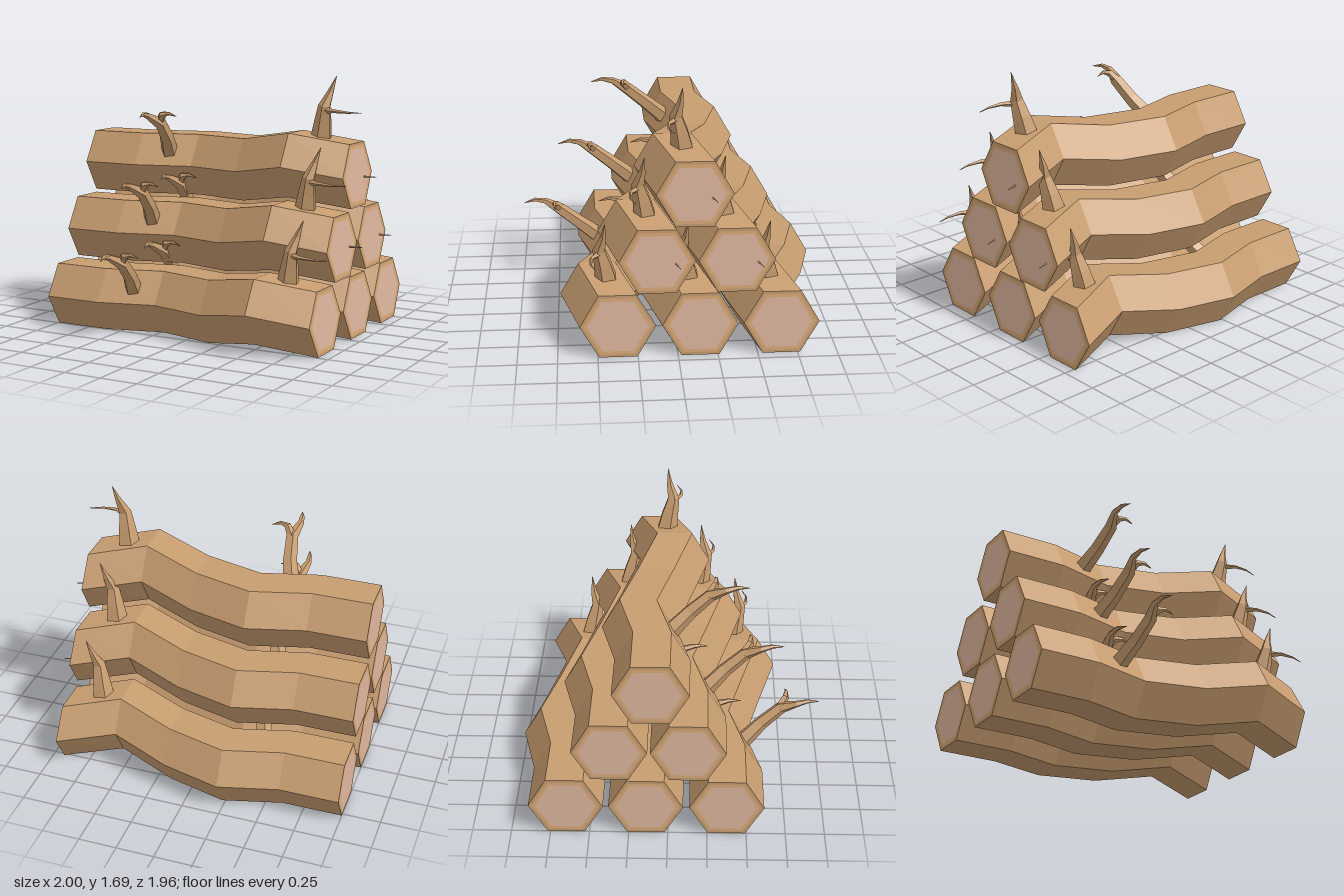
import * as THREE from 'three';

const V = (x, y, z) => new THREE.Vector3(x, y, z);
const mat = (color) => new THREE.MeshStandardMaterial({ color, flatShading: true });
const bark = mat(0xc89d70), sapwood = mat(0xdcab78), heartwood = mat(0xe0b8a0);

// Skin a list of equal-length rings; optionally close the first and last ring
function loft(rings, closeStart, closeEnd) {
  const pos = [];
  const tri = (...pts) => pts.forEach((p) => pos.push(p.x, p.y, p.z));
  const n = rings[0].length;
  for (let i = 0; i < rings.length - 1; i++) {
    for (let k = 0; k < n; k++) {
      const m = (k + 1) % n;
      const a = rings[i][k], b = rings[i][m], c = rings[i + 1][m], d = rings[i + 1][k];
      tri(a, b, c);
      tri(a, c, d);
    }
  }
  const first = rings[0], last = rings[rings.length - 1];
  for (let k = 1; k < n - 1; k++) {
    if (closeStart) tri(first[0], first[k + 1], first[k]);
    if (closeEnd) tri(last[0], last[k], last[k + 1]);
  }
  const g = new THREE.BufferGeometry();
  g.setAttribute('position', new THREE.Float32BufferAttribute(pos, 3));
  g.computeVertexNormals();
  return g;
}

// Tapering faceted limb; each node is [x, y, z, radius]
function limb(nodes, sides) {
  const pts = nodes.map((p) => V(p[0], p[1], p[2]));
  let u = V(0, 0, 1);
  const rings = nodes.map((node, i) => {
    const t = pts[Math.min(i + 1, pts.length - 1)].clone().sub(pts[Math.max(i - 1, 0)]).normalize();
    u = u.clone().addScaledVector(t, -u.dot(t)).normalize();
    const v = t.clone().cross(u);
    return Array.from({ length: sides }, (_, k) => {
      const a = (k / sides) * Math.PI * 2;
      return pts[i].clone()
        .addScaledVector(u, Math.cos(a) * node[3])
        .addScaledVector(v, Math.sin(a) * node[3]);
    });
  });
  return loft(rings, true, true);
}

// Hexagonal log section with flat top; the right end leans back slightly
const R = 0.237;
function hexRing([x, y, z], scale = 1) {
  return Array.from({ length: 6 }, (_, k) => {
    const a = Math.PI / 6 + (k * Math.PI) / 3;
    const dy = Math.cos(a) * R * scale;
    const lean = x > 0.9 ? 0.0075 * (dy / 0.205 + 1) : 0;
    return V(x - lean, y + dy, z + Math.sin(a) * R * scale);
  });
}

// Bent centre line of a log: x, y, z
const spine = [
  [-1, 0, 0], [-0.61, 0, 0], [-0.23, 0, -0.1],
  [0.16, 0, 0], [0.545, 0.065, 0.12], [0.93, 0, 0],
];

const parts = [];
const part = (name, geometry, material) => parts.push({ name, geometry, material });

part('bark', loft(spine.map((p) => hexRing(p)), false, false), bark);

// Cut ends: bark rim, sapwood ring and heartwood core
[['left', spine[5]], ['right', spine[0]]].forEach(([side, c]) => {
  const isEnd = side === 'left';
  const band = (a, b) => {
    const rings = [hexRing(c, a), hexRing(c, b)];
    return loft(isEnd ? rings : rings.reverse(), false, false);
  };
  part(side + 'EndRim', band(1, 0.91), bark);
  part(side + 'EndRing', band(0.91, 0.81), sapwood);
  part(side + 'EndCore', loft([hexRing(c, 0.81)], !isEnd, isEnd), heartwood);
});

// Forked branch on the front face
part('frontBranch', limb([
  [-0.415, 0.07, 0.09, 0.06], [-0.36, 0.2, 0.23, 0.048], [-0.335, 0.31, 0.36, 0.042],
  [-0.365, 0.36, 0.46, 0.022], [-0.355, 0.375, 0.53, 0.014], [-0.335, 0.362, 0.605, 0.002],
], 5), bark);
part('frontBranchFork', limb([
  [-0.345, 0.3, 0.34, 0.032], [-0.295, 0.365, 0.39, 0.024],
  [-0.245, 0.375, 0.395, 0.012], [-0.19, 0.357, 0.39, 0.002],
], 5), bark);

// Upright spike with a thin twig near the left end
part('topSpike', limb([
  [0.69, 0.19, 0.055, 0.078], [0.715, 0.33, 0.08, 0.06], [0.735, 0.44, 0.105, 0.042],
  [0.765, 0.53, 0.08, 0.022], [0.8, 0.63, 0.07, 0.002],
], 5), bark);
part('topSpikeTwig', limb([
  [0.745, 0.415, 0.11, 0.022], [0.82, 0.415, 0.155, 0.012],
  [0.91, 0.41, 0.16, 0.007], [1.0, 0.407, 0.13, 0.002],
], 4), bark);

export function createModel() {
  const model = new THREE.Group();
  model.name = 'logPile';
  // Rows of three, two and one: height and z positions
  const rows = [
    ['bottomLog', 0.205, [0.373, -0.14, -0.648]],
    ['middleLog', 0.63, [0.128, -0.363]],
    ['topLog', 1.063, [-0.103]],
  ];
  for (const [name, y, zs] of rows) {
    zs.forEach((z, i) => {
      const log = new THREE.Group();
      log.name = name + (i + 1);
      log.position.set(0, y, z);
      for (const p of parts) {
        const mesh = new THREE.Mesh(p.geometry, p.material);
        mesh.name = p.name;
        log.add(mesh);
      }
      model.add(log);
    });
  }
  return model;
}
